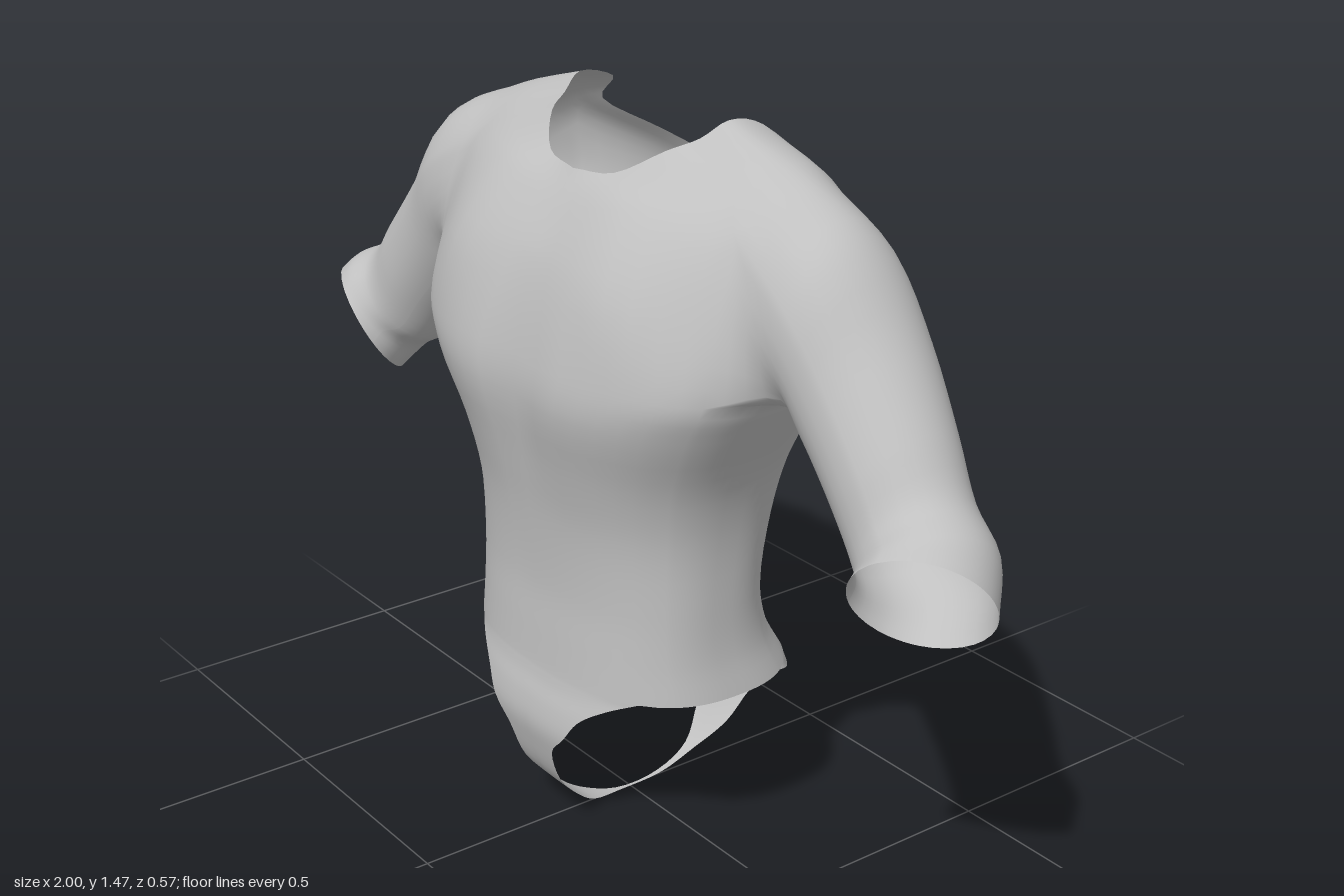
import * as THREE from 'three';

const SUB = 4;                                             // subdivisions per key span
const KEY_ANGLES = [0, 30, 62, 76, 90, 104, 118, 150, 180]; // front centre -> side -> back centre
const POWER = 2.5;                                         // squareness of the torso section
const V = (x, y, z) => new THREE.Vector3(x, y, z);

// Smooth curve through points, sampled SUB times per span
function refine(points) {
  const curve = new THREE.CatmullRomCurve3(points);
  const n = (points.length - 1) * SUB;
  return Array.from({ length: n + 1 }, (_, i) => curve.getPoint(i / n));
}

// Refine a list of equally long rows along their columns
function loft(rows) {
  const columns = rows[0].map((_, j) => refine(rows.map(r => r[j])));
  return columns[0].map((_, i) => columns.map(c => c[i]));
}

// Depth of the torso surface at x, with a soft groove down the middle
function depth(x, w, z, mid, groove) {
  const k = Math.pow(Math.max(0, 1 - Math.pow(x / w, POWER)), 1 / POWER);
  return mid + (z - mid) * k - Math.sign(z - mid) * groove * Math.exp(-((x / 0.07) ** 2));
}

// Half section of the torso: y, half width, front z, back z, front groove, back groove
function bodyRow([y, w, zf, zb, gf, gb]) {
  const mid = (zf + zb) / 2;
  const row = [];
  for (let i = 0; i <= (KEY_ANGLES.length - 1) * SUB; i++) {
    const k = Math.min(Math.floor(i / SUB), KEY_ANGLES.length - 2);
    const deg = KEY_ANGLES[k] + (KEY_ANGLES[k + 1] - KEY_ANGLES[k]) * (i / SUB - k);
    const x = w * Math.pow(Math.abs(Math.sin(deg * Math.PI / 180)), 2 / POWER);
    const front = deg <= 90;
    row.push(V(deg === 180 ? 0 : x, y, deg === 90 ? mid : depth(x, w, front ? zf : zb, mid, front ? gf : gb)));
  }
  return row;
}

const HEM = [0.37, 0.35, 0.24, -0.245, 0, 0.03];
const BODY = [
  HEM,
  [0.45, 0.335, 0.235, -0.2, 0, 0.015],
  [0.55, 0.33, 0.23, -0.18, 0, 0.015],
  [0.7, 0.335, 0.24, -0.205, 0, 0.02],
  [0.82, 0.365, 0.265, -0.23, 0.01, 0.02],
  [0.95, 0.435, 0.295, -0.255, 0.025, 0.02],
  [1.03, 0.48, 0.29, -0.268, 0.025, 0.02],
];

// Chest, shoulder and neckline rows, from front centre round to back centre
const YOKE = [
  [[0, 1.2, 0.225], [0.24, 1.19, 0.235], [0.43, 1.19, 0.13], [0.52, 1.28, 0.05], [0.58, 1.34, -0.05],
    [0.52, 1.28, -0.13], [0.43, 1.2, -0.195], [0.23, 1.2, -0.265], [0, 1.18, -0.255]],
  [[0, 1.29, 0.175], [0.19, 1.33, 0.155], [0.4, 1.33, 0.075], [0.43, 1.38, 0.01], [0.44, 1.405, -0.06],
    [0.43, 1.39, -0.12], [0.42, 1.33, -0.18], [0.22, 1.28, -0.25], [0, 1.24, -0.258]],
  [[0, 1.36, 0.13], [0.1, 1.37, 0.11], [0.18, 1.42, 0.05], [0.21, 1.44, 0], [0.23, 1.47, -0.05],
    [0.23, 1.45, -0.13], [0.32, 1.38, -0.17], [0.18, 1.34, -0.215], [0, 1.3, -0.25]],
];

// Sleeve rings: centre, half axis towards the front, half axis towards the top
const SLEEVE = [
  [[0.55, 1.175, -0.04], [0, 0, 0.15], [0.03, 0.17, 0]],
  [[0.63, 1.08, -0.04], [0, 0, 0.14], [0.07, 0.12, 0]],
  [[0.73, 0.965, -0.022], [0, 0, 0.125], [0.08, 0.097, 0]],
  [[0.8, 0.88, -0.005], [-0.01, 0.01, 0.115], [0.075, 0.095, 0]],
  [[0.86, 0.845, 0.018], [-0.035, 0.035, 0.115], [0.085, 0.09, 0]],
  [[0.89, 0.8, 0.055], [-0.064, 0.064, 0.093], [0.09, 0.09, 0]],
];

// Crotch strip from below the front hem to below the back hem: y, z, half width, groove
const STRIP = [
  [0.34, 0.245, 0.21, 0], [0.3, 0.255, 0.155, 0], [0.25, 0.26, 0.12, 0], [0.2, 0.25, 0.075, 0],
  [0.12, 0.22, 0.062, 0], [0.05, 0.155, 0.045, 0], [0.02, 0.11, 0.03, 0], [0, 0.03, 0.006, 0],
  [0.005, -0.08, 0.006, 0], [0.04, -0.16, 0.015, 0], [0.1, -0.222, 0.05, 0.005], [0.17, -0.272, 0.07, 0.015],
  [0.22, -0.29, 0.11, 0.025], [0.27, -0.288, 0.18, 0.03], [0.32, -0.268, 0.235, 0.03],
];

export function createModel() {
  const fabric = new THREE.MeshStandardMaterial({ color: 0xc0c0c0, side: THREE.DoubleSide });
  fabric.name = 'grey fabric';

  // Shared, welded vertices so that shading runs smoothly across the parts
  const positions = [], lookup = new Map(), parts = {};
  function vertex(p, side) {
    const key = [p.x * side, p.y, p.z].map(v => Math.round(v * 1e4)).join();
    if (!lookup.has(key)) {
      lookup.set(key, positions.length / 3);
      positions.push(p.x * side, p.y, p.z);
    }
    return lookup.get(key);
  }
  function addGrid(name, rows, side, flip = false, skip = () => false) {
    const out = parts[name] ??= [];
    for (let i = 0; i < rows.length - 1; i++) {
      for (let j = 0; j < rows[0].length - 1; j++) {
        if (skip(i, j)) continue;
        const [a, b, c, d] = [rows[i][j], rows[i][j + 1], rows[i + 1][j + 1], rows[i + 1][j]].map(p => vertex(p, side));
        const tris = (side < 0) !== flip ? [[a, c, b], [a, d, c]] : [[a, b, c], [a, c, d]];
        for (const t of tris) if (new Set(t).size === 3) out.push(...t);
      }
    }
  }

  // Torso half, with a gap for the armhole
  const torso = loft([...BODY.map(bodyRow), ...YOKE.map(r => refine(r.map(p => V(...p))))]);
  const low = (BODY.length - 1) * SUB, high = low + 2 * SUB;
  const fore = 2 * SUB, aft = 6 * SUB;
  const inArmhole = (i, j) => i >= low && i < high && j >= fore && j < aft;

  // Sleeve, growing out of the armhole edge
  const edge = [];
  for (let j = fore; j < aft; j++) edge.push(torso[low][j]);
  for (let i = low; i < high; i++) edge.push(torso[i][aft]);
  for (let j = aft; j > fore; j--) edge.push(torso[high][j]);
  for (let i = high; i >= low; i--) edge.push(torso[i][fore]);
  const angles = edge.map(p => Math.atan2((p.x - 0.46 + p.y - 1.22) * 0.707 / 0.12, (p.z + 0.03) / 0.15));
  const rings = SLEEVE.map(([c, u, v]) => angles.map(a =>
    V(...c).addScaledVector(V(...u), Math.cos(a)).addScaledVector(V(...v), Math.sin(a))));
  const sleeve = loft([edge, ...rings]);

  // Crotch strip, joined to the front and back hem
  const hem = torso[0], count = SUB + 2;
  const frontHem = hem.slice(0, count + 1);
  const backHem = hem.slice(-count - 1).reverse();
  const strip = loft([frontHem, ...STRIP.map(([y, z, hw, groove]) => frontHem.map(p => {
    const x = hw * p.x / frontHem[count].x;
    return V(x, y, depth(x, 0.35, z, 0, groove));
  })), backHem]);

  for (const side of [1, -1]) {
    addGrid('torso', torso, side, false, inArmhole);
    addGrid(side > 0 ? 'leftSleeve' : 'rightSleeve', sleeve, side);
    addGrid('crotchPanel', strip, side, true);
  }

  // One set of normals for all the parts
  const whole = new THREE.BufferGeometry();
  whole.setAttribute('position', new THREE.Float32BufferAttribute(positions, 3));
  whole.setIndex(Object.values(parts).flat());
  whole.computeVertexNormals();

  const group = new THREE.Group();
  group.name = 'bodysuit';
  for (const [name, index] of Object.entries(parts)) {
    const geometry = new THREE.BufferGeometry();
    geometry.setAttribute('position', whole.attributes.position);
    geometry.setAttribute('normal', whole.attributes.normal);
    geometry.setIndex(index);
    const mesh = new THREE.Mesh(geometry, fabric);
    mesh.name = name;
    group.add(mesh);
  }
  return group;
}
